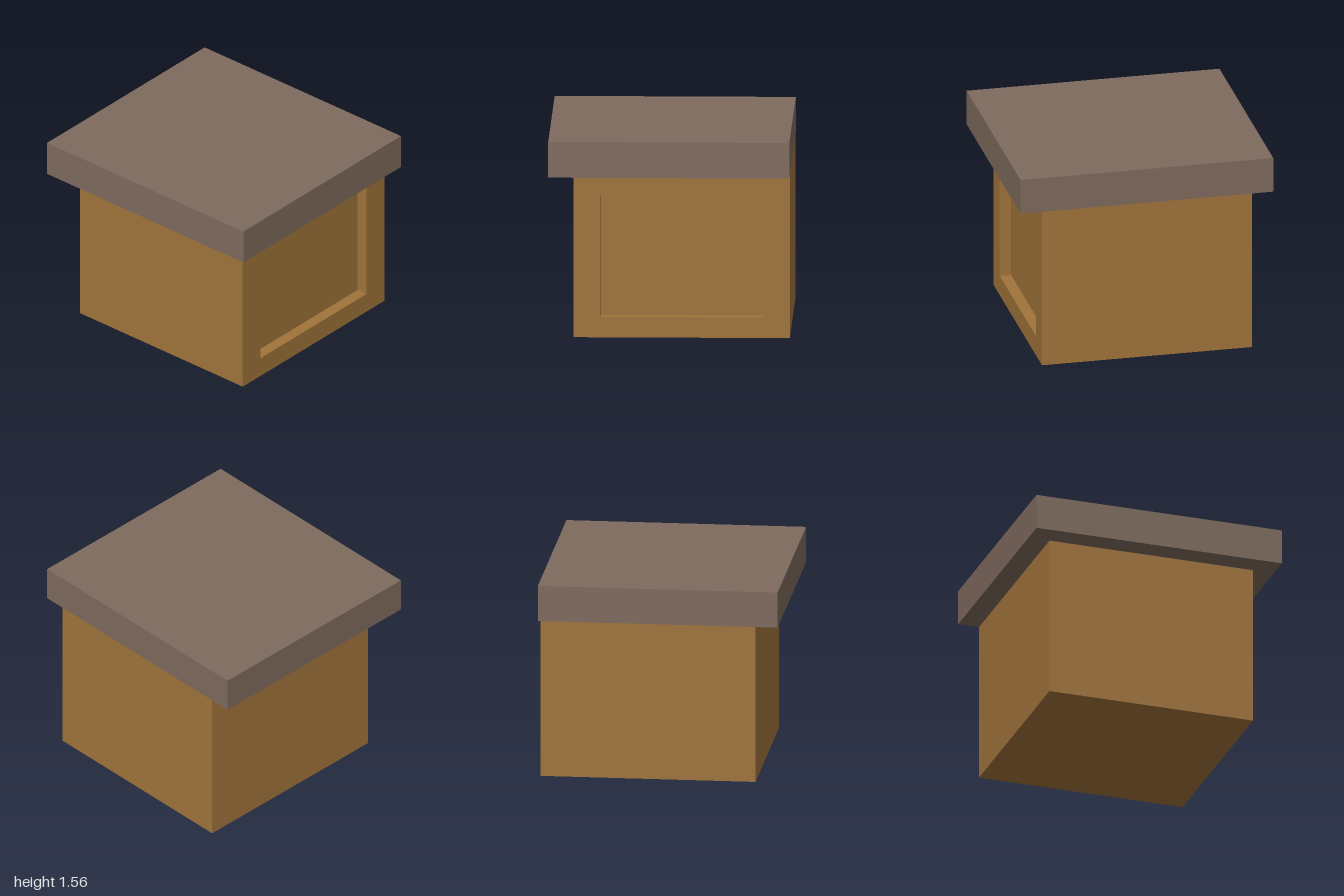
import * as THREE from 'three';

const wood = new THREE.MeshStandardMaterial({ name: 'warm wood', color: 0xa0733a });
const slate = new THREE.MeshStandardMaterial({ name: 'grey brown roof', color: 0x7e6a5d });

// Axis-aligned box given by its minimum and maximum corners
function block(name, material, [x0, y0, z0], [x1, y1, z1]) {
  const mesh = new THREE.Mesh(new THREE.BoxGeometry(x1 - x0, y1 - y0, z1 - z0), material);
  mesh.position.set((x0 + x1) / 2, (y0 + y1) / 2, (z0 + z1) / 2);
  mesh.name = name;
  return mesh;
}

// Closed rectangle as a list of points
function rectangle(x0, y0, x1, y1) {
  return [[x0, y0], [x1, y0], [x1, y1], [x0, y1]].map(([x, y]) => new THREE.Vector2(x, y));
}

export function createModel() {
  const model = new THREE.Group();
  model.name = 'hut';
  const left = -0.74, right = 0.93, wallTop = 1.28, front = 0.83, recess = 0.09;

  // Solid body; its front face is the back of the recess
  model.add(block('body', wood, [left, 0, -front], [right, wallTop, front - recess]));

  // Front wall with a rectangular opening, forming the shallow recess
  const wall = new THREE.Shape(rectangle(left, 0, right, wallTop));
  wall.holes.push(new THREE.Path(rectangle(-0.53, 0.16, 0.72, 1.12).reverse()));
  const frame = new THREE.Mesh(
    new THREE.ExtrudeGeometry(wall, { depth: recess, bevelEnabled: false }), wood);
  frame.position.z = front - recess;
  frame.name = 'frontFrame';
  model.add(frame);

  // Overhanging slab roof, flush with the body on the +x side
  model.add(block('roof', slate, [-0.93, wallTop, -1], [0.93, 1.56, 1]));
  return model;
}
